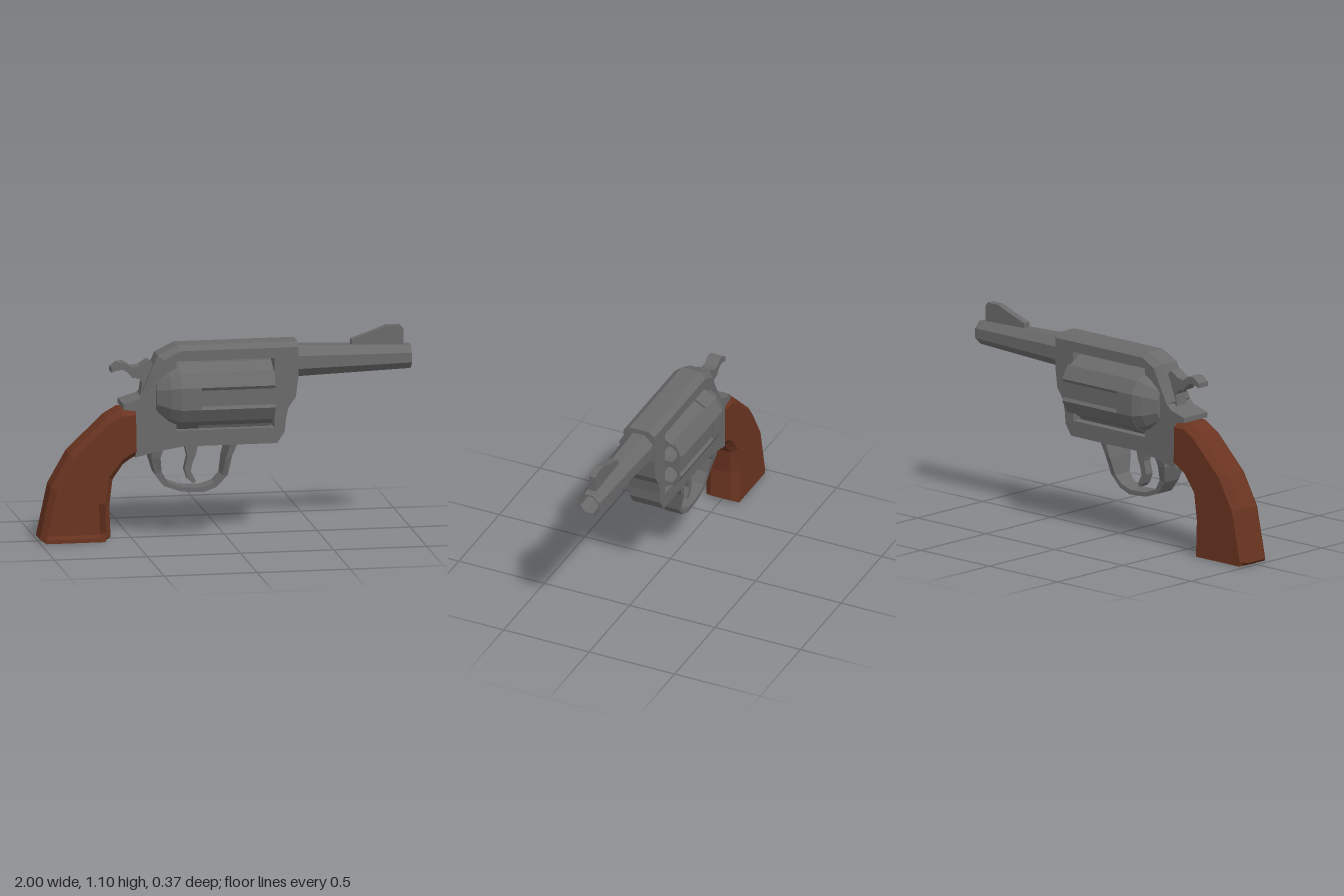
import * as THREE from 'three';

const steel = new THREE.MeshStandardMaterial({ color: 0x6a6a6a });
steel.name = 'steel grey';
const wood = new THREE.MeshStandardMaterial({ color: 0x6a3421, side: THREE.DoubleSide });
wood.name = 'brown wood';

// Flat-faced skin over equal-length rings of [x, y, z], with capped ends
function loft(rings, skip = () => false) {
  const tris = [];
  const n = rings[0].length;
  for (let i = 0; i < rings.length - 1; i++) {
    for (let j = 0; j < n; j++) {
      if (skip(i, j)) continue;
      const k = (j + 1) % n;
      const a = rings[i][j], b = rings[i][k], c = rings[i + 1][k], d = rings[i + 1][j];
      tris.push([a, b, c], [a, c, d]);
    }
  }
  const first = rings[0], last = rings[rings.length - 1];
  for (let j = 1; j < n - 1; j++) {
    tris.push([first[0], first[j + 1], first[j]], [last[0], last[j], last[j + 1]]);
  }
  // turn the faces outward if the signed volume is negative
  let volume = 0;
  const o = new THREE.Vector3(...first[0]);
  for (const t of tris) {
    const [a, b, c] = t.map((p) => new THREE.Vector3(...p).sub(o));
    volume += a.dot(b.cross(c));
  }
  if (volume < 0) tris.forEach((t) => t.reverse());
  const g = new THREE.BufferGeometry();
  g.setAttribute('position', new THREE.Float32BufferAttribute(tris.flat(2), 3));
  g.computeVertexNormals();
  return g;
}

const shapeOf = (pts) => new THREE.Shape(pts.map(([x, y]) => new THREE.Vector2(x, y)));

// Side outline given thickness across z
function plate(shape, halfWidth) {
  const g = new THREE.ExtrudeGeometry(shape, { depth: halfWidth * 2, bevelEnabled: false });
  return g.translate(0, 0, -halfWidth);
}

// Ring around the x axis at height cy
const ringX = (x, cy, r, degrees) => degrees.map((d) => {
  const a = THREE.MathUtils.degToRad(d);
  return [x, cy + r * Math.sin(a), r * Math.cos(a)];
});

export function createModel() {
  const model = new THREE.Group();
  const add = (name, geometry, material = steel) => {
    const mesh = new THREE.Mesh(geometry, material);
    mesh.name = name;
    model.add(mesh);
  };

  // Frame with a window for the cylinder
  const frame = shapeOf([
    [-0.49, 0.45], [-0.39, 0.475], [-0.24, 0.5], [0.27, 0.5], [0.31, 0.56], [0.315, 0.62],
    [0.33, 0.69], [0.37, 0.745], [0.385, 0.86], [0.385, 1.015], [-0.25, 1.015],
    [-0.335, 0.97], [-0.375, 0.89], [-0.43, 0.79], [-0.46, 0.765], [-0.555, 0.738],
    [-0.555, 0.71], [-0.49, 0.7],
  ]);
  frame.holes.push(shapeOf([[-0.27, 0.585], [-0.27, 0.96], [0.255, 0.96], [0.255, 0.585]]));
  add('frame', plate(frame, 0.09));

  // Chamfered ridge along the top and back of the frame
  const outer = [[0.385, 1.04], [-0.26, 1.04], [-0.365, 0.99], [-0.405, 0.9], [-0.445, 0.8]];
  const inner = [[0.385, 1.015], [-0.25, 1.015], [-0.335, 0.97], [-0.375, 0.89], [-0.43, 0.79]];
  add('topStrap', loft(outer.map(([x, y], i) => {
    const [u, v] = inner[i];
    return [[u, v, 0.09], [x, y, 0.055], [x, y, -0.055], [u, v, -0.09]];
  })));

  // Cylinder: fluted front with six chambers, plain rear band, tapered shield
  const axisY = 0.772;
  const fluted = [], plain = [];
  for (let k = 0; k < 6; k++) {
    const at = (deg, r) => {
      const a = THREE.MathUtils.degToRad(deg + 60 * k);
      return [r * Math.cos(a), r * Math.sin(a)];
    };
    fluted.push(at(-18, 0.193), at(-14, 0.177), at(14, 0.177), at(18, 0.193));
    plain.push(-18 + 60 * k, 18 + 60 * k);
  }
  const drum = shapeOf(fluted);
  for (let k = 0; k < 6; k++) {
    const a = (k + 0.5) * Math.PI / 3;
    const hole = [];
    for (let j = 0; j < 8; j++) {
      const b = -(j + 0.5) * Math.PI / 4;
      hole.push([0.127 * Math.cos(a) + 0.05 * Math.cos(b), 0.127 * Math.sin(a) + 0.05 * Math.sin(b)]);
    }
    drum.holes.push(shapeOf(hole));
  }
  const drumGeometry = new THREE.ExtrudeGeometry(drum, { depth: 0.395, bevelEnabled: false });
  add('cylinder', drumGeometry.rotateY(Math.PI / 2).translate(-0.15, axisY, 0));
  add('cylinderRear', loft([
    ringX(-0.15, axisY, 0.193, plain), ringX(-0.26, axisY, 0.193, plain),
  ]));
  add('recoilShield', loft([
    ringX(-0.26, axisY, 0.191, plain), ringX(-0.31, axisY, 0.17, plain),
    ringX(-0.38, axisY, 0.115, plain),
  ]));

  // Octagonal tapered barrel with an open bore
  const eight = Array.from({ length: 8 }, (_, i) => 22.5 + 45 * i);
  add('barrel', loft([
    [0.37, 0.091], [0.985, 0.069], [1, 0.065], [1, 0.056], [0.85, 0.056],
  ].map(([x, r]) => ringX(x, 0.929, r, eight))));

  add('frontSight', plate(shapeOf([
    [0.68, 0.98], [0.96, 0.97], [0.96, 1.08], [0.945, 1.097], [0.87, 1.097], [0.77, 1.06], [0.68, 1.03],
  ]), 0.02));

  // Trigger guard: [outer x, outer y, inner x, inner y, half width]
  add('triggerGuard', loft([
    [0.06, 0.51, 0.02, 0.51, 0.088], [0.03, 0.44, -0.005, 0.42, 0.08],
    [0.01, 0.33, -0.02, 0.33, 0.055], [-0.05, 0.265, -0.06, 0.287, 0.05],
    [-0.12, 0.24, -0.13, 0.266, 0.05], [-0.24, 0.248, -0.23, 0.27, 0.05],
    [-0.33, 0.28, -0.31, 0.3, 0.05], [-0.38, 0.35, -0.345, 0.36, 0.055],
    [-0.405, 0.44, -0.355, 0.44, 0.08], [-0.4, 0.49, -0.34, 0.49, 0.088],
  ].map(([x, y, u, v, w]) => [[x, y, w], [x, y, -w], [u, v, -w], [u, v, w]])));

  add('trigger', plate(shapeOf([
    [-0.22, 0.51], [-0.2, 0.43], [-0.217, 0.36], [-0.2, 0.31], [-0.17, 0.285], [-0.155, 0.297],
    [-0.183, 0.35], [-0.175, 0.39], [-0.155, 0.44], [-0.14, 0.51],
  ]), 0.025));

  add('hammer', plate(shapeOf([
    [-0.61, 0.9], [-0.58, 0.912], [-0.55, 0.915], [-0.525, 0.9], [-0.5, 0.87], [-0.465, 0.865],
    [-0.445, 0.84], [-0.455, 0.775], [-0.41, 0.78], [-0.37, 0.9], [-0.39, 0.945], [-0.41, 0.962],
    [-0.46, 0.93], [-0.5, 0.925], [-0.54, 0.952], [-0.575, 0.952], [-0.61, 0.925],
  ]), 0.036));

  // Curved grip with bevelled edges: [back x, back y, front x, front y];
  // the lower panel on the +z side is open
  const stations = [
    [-0.49, 0.71, -0.485, 0.455], [-0.57, 0.705, -0.52, 0.435], [-0.64, 0.665, -0.555, 0.41],
    [-0.84, 0.475, -0.61, 0.33], [-0.94, 0.3, -0.627, 0.19], [-1, 0.02, -0.62, 0.02],
    [-0.97, 0, -0.65, 0],
  ];
  add('grip', loft(stations.map(([bx, by, fx, fy], i) => {
    const len = Math.hypot(fx - bx, fy - by);
    const inset = i === stations.length - 1 ? 0 : 0.03 / len;
    const p = (t, z) => [bx + (fx - bx) * t, by + (fy - by) * t, z];
    return [
      p(0, -0.06), p(0, 0.06), p(inset, 0.096), p(1 - inset, 0.096),
      p(1, 0.06), p(1, -0.06), p(1 - inset, -0.096), p(inset, -0.096),
    ];
  }), (i, j) => i === 4 && j === 2), wood);

  return model;
}
